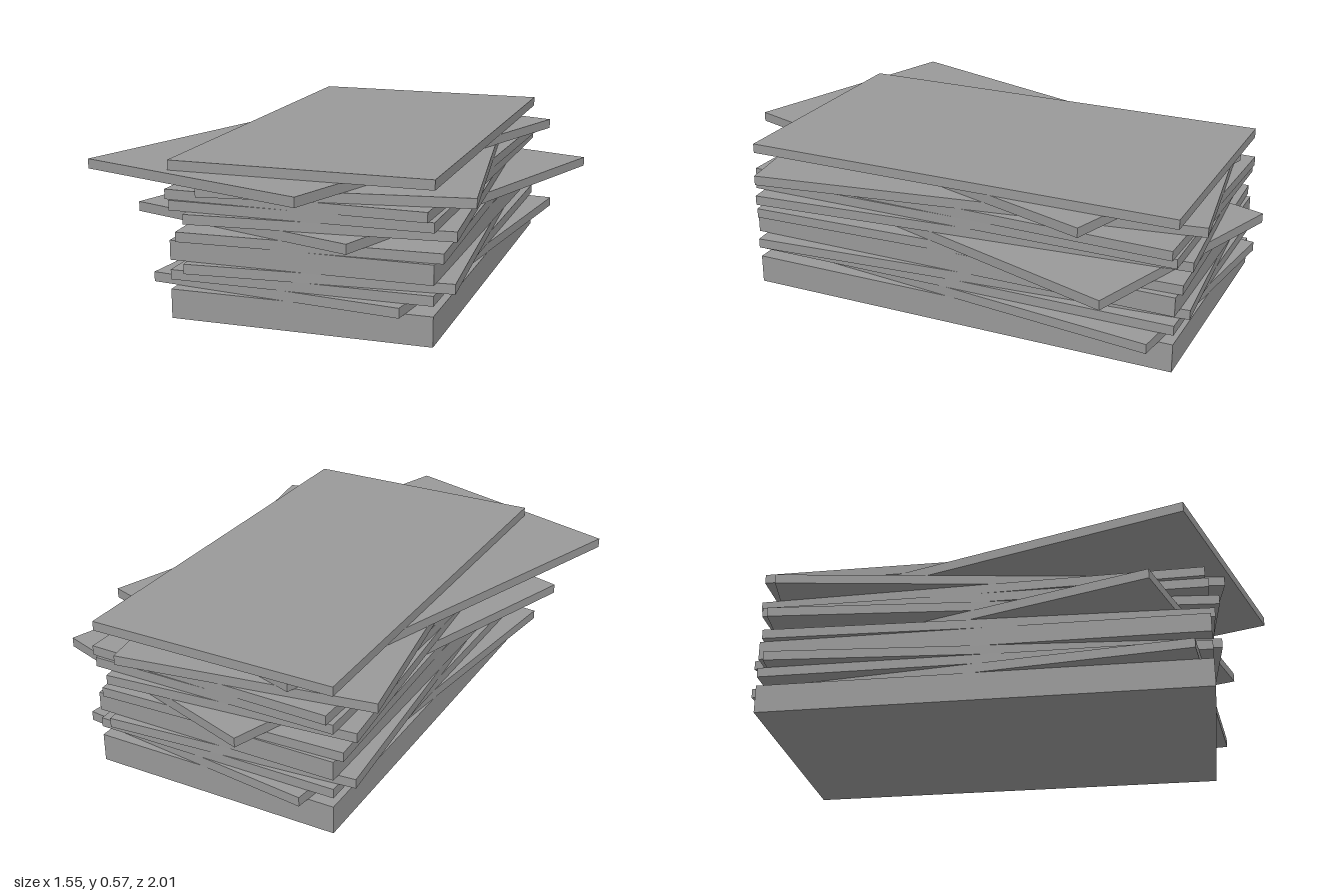
import * as THREE from 'three';

const WIDTH = 0.95, DEPTH = 1.66, SHEET = 0.57 / 16;
const CX = 0.0475, CZ = -0.05;

// Layers from the bottom up: thickness in sheets, turn in degrees, centre
const LAYERS = [
  { sheets: 3, turn: 0 },
  { sheets: 1, turn: -6.9 },
  { sheets: 1, turn: 0 },
  { sheets: 1, turn: 4.5 },
  { sheets: 2, turn: 0 },
  { sheets: 1, turn: 2 },
  { sheets: 1, turn: -18.4, x: 0.0625, z: -0.065 },
  { sheets: 1, turn: 4.7 },
  { sheets: 1, turn: 0 },
  { sheets: 1, turn: -1.4 },
  { sheets: 1, turn: 8.7 },
  { sheets: 1, turn: -18.4, x: -0.065, z: 0.065 },
  { sheets: 1, turn: 0 },
];

export function createModel() {
  const stack = new THREE.Group();
  stack.name = 'sheetStack';
  const grey = new THREE.MeshStandardMaterial({ color: 0x999999 });
  grey.name = 'grey';

  // Each layer rests on the one below
  let y = 0;
  LAYERS.forEach(({ sheets, turn, x = CX, z = CZ }, i) => {
    const height = sheets * SHEET;
    const layer = new THREE.Mesh(new THREE.BoxGeometry(WIDTH, height, DEPTH), grey);
    layer.name = `sheet${i + 1}`;
    layer.position.set(x, y + height / 2, z);
    layer.rotation.y = THREE.MathUtils.degToRad(turn);
    stack.add(layer);
    y += height;
  });
  return stack;
}
